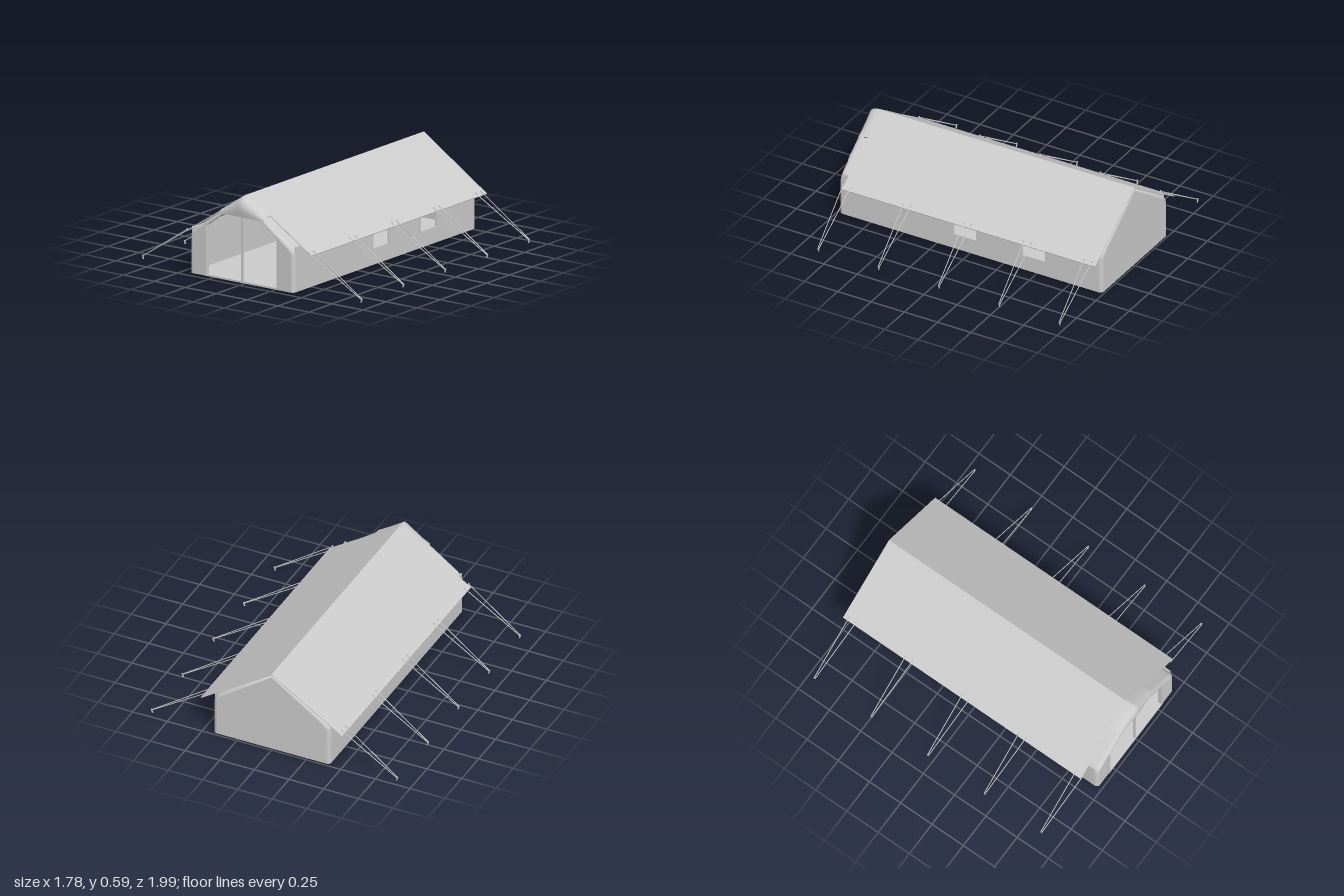
import * as THREE from 'three';

const mat = new THREE.MeshStandardMaterial({ color: 0xcccccc, side: THREE.DoubleSide });

function add(parent, name, geo, x = 0, y = 0, z = 0) {
  const m = new THREE.Mesh(geo, mat);
  m.name = name;
  m.position.set(x, y, z);
  parent.add(m);
  return m;
}

const shapeOf = pts => new THREE.Shape(pts.map(p => new THREE.Vector2(p[0], p[1])));
const pathOf = pts => new THREE.Path(pts.map(p => new THREE.Vector2(p[0], p[1])));
const extrude = (shape, depth) => new THREE.ExtrudeGeometry(shape, { depth, bevelEnabled: false });
const mirrored = half => [...half, ...half.slice().reverse().filter(p => p[0] > 0).map(([x, y]) => [-x, y])];
const rect = (x0, y0, x1, y1) => [[x0, y0], [x1, y0], [x1, y1], [x0, y1]];

// Surface through rows of points of equal length
function loft(rows) {
  const n = rows[0].length, idx = [];
  for (let i = 0; i < rows.length - 1; i++) {
    for (let j = 0; j < n - 1; j++) {
      const a = i * n + j, b = a + 1, c = a + n, d = c + 1;
      idx.push(a, c, b, b, c, d);
    }
  }
  const g = new THREE.BufferGeometry();
  g.setAttribute('position', new THREE.Float32BufferAttribute(rows.flat(2), 3));
  g.setIndex(idx);
  g.computeVertexNormals();
  return g;
}

// Straight round bar between two points
function bar(a, b, r, sides = 6) {
  const line = new THREE.LineCurve3(new THREE.Vector3(...a), new THREE.Vector3(...b));
  return new THREE.TubeGeometry(line, 1, r, sides, false);
}

const R = 0.025; // rounding of the wall corners
const inset = (pts, d) => pts.map(([x, y]) => [x * (1 - d / 0.42), y > 0.27 ? y - d * 0.5 : y]);

// Rounded edge turning from the side of the tent into an end wall
function roundedRim(profile, zStart, zTurn, dir) {
  const ring = (d, z) => inset(profile, d).map(([x, y]) => [x, y, z]);
  const rows = [ring(0, zStart)];
  for (let i = 0; i <= 6; i++) {
    const a = (i / 6) * Math.PI / 2;
    rows.push(ring(R * (1 - Math.cos(a)), zTurn + dir * R * Math.sin(a)));
  }
  if (dir > 0) rows.reverse();
  return loft(rows);
}

export function createModel() {
  const tent = new THREE.Group();
  tent.name = 'ridgeTent';

  // Floor
  add(tent, 'floor', new THREE.BoxGeometry(0.82, 0.01, 1.95), 0, 0.012, -0.01);

  // Roof sheet folded over the ridge
  const roof = shapeOf([[0.51, 0.26], [0, 0.592], [-0.51, 0.26], [-0.508, 0.254], [0, 0.585], [0.508, 0.254]]);
  add(tent, 'roof', extrude(roof, 1.9), 0, 0, -0.997);

  // Side walls with two windows each
  const windows = [[-0.055, 0.115], [-0.57, -0.4]];
  for (const s of [1, -1]) {
    const wall = shapeOf(rect(-0.95, 0.01, 0.97, 0.312));
    for (const [z0, z1] of windows) wall.holes.push(pathOf(rect(-z1, 0.12, -z0, 0.23)));
    const side = new THREE.Group();
    side.name = s > 0 ? 'leftSide' : 'rightSide';
    add(side, 'sideWall', extrude(wall, 0.008)).rotation.y = Math.PI / 2;
    side.position.x = s > 0 ? 0.412 : -0.42;
    for (const [z0, z1] of windows) {
      const frame = shapeOf(rect(-z1 - 0.012, 0.108, -z0 + 0.012, 0.242));
      frame.holes.push(pathOf(rect(-z1, 0.12, -z0, 0.23)));
      add(side, 'windowFrame', extrude(frame, 0.014), -0.003).rotation.y = Math.PI / 2;
    }
    tent.add(side);
  }

  // Back gable
  const half = [[0.42, 0.01], [0.42, 0.26], [0.412, 0.29], [0.39, 0.318], [0, 0.578]];
  add(tent, 'backRim', roundedRim(mirrored(half), -0.93, -0.997 + R, -1));
  add(tent, 'backWall', extrude(shapeOf(inset(mirrored(half), R)), 0.005), 0, 0, -0.997);

  // Front wall with a wide doorway
  const frontHalf = [[0.42, 0.01], [0.42, 0.26], [0.412, 0.285], [0.39, 0.31], [0.17, 0.465]];
  for (const s of [1, -1]) {
    const pts = frontHalf.map(([x, y]) => [s * x, y]);
    add(tent, 'frontRim', roundedRim(s > 0 ? pts : pts.reverse(), 0.88, 0.975 - R, 1));
  }
  const doorway = mirrored([[0.285, 0.022], [0.285, 0.35], [0.15, 0.45]]);
  const front = shapeOf(mirrored(inset(frontHalf, R)));
  front.holes.push(pathOf(doorway));
  add(tent, 'frontWall', extrude(front, 0.008), 0, 0, 0.967);

  // Door frame, posts and centre pole
  const frame = shapeOf(mirrored([[0.3, 0.01], [0.3, 0.356], [0.155, 0.459]]));
  frame.holes.push(pathOf(doorway));
  add(tent, 'doorFrame', extrude(frame, 0.03), 0, 0, 0.948);
  add(tent, 'centrePole', new THREE.BoxGeometry(0.014, 0.44, 0.014), 0, 0.235, 0.965);

  // Hood curving down over the doorway
  const mid = [[0.89, 0.593], [0.935, 0.593], [0.965, 0.584], [0.985, 0.568], [0.997, 0.53], [0.992, 0.49], [0.985, 0.457]];
  const edge = [[0.89, 0.478], [0.91, 0.477], [0.935, 0.475], [0.955, 0.471], [0.97, 0.464], [0.975, 0.457], [0.975, 0.447]];
  const rows = [];
  for (let i = 0; i <= 16; i++) {
    const t = i / 8 - 1, k = Math.abs(t);
    rows.push(mid.map(([z, y], j) => [
      0.18 * t, THREE.MathUtils.lerp(y, edge[j][1], k), THREE.MathUtils.lerp(z, edge[j][0], k)]));
  }
  add(tent, 'frontHood', loft(rows.reverse()));

  // Guy ropes in pairs, each pair tied to one stake
  for (const s of [1, -1]) {
    for (let i = 0; i < 5; i++) {
      const z = 0.86 - i * 0.453;
      const guy = new THREE.Group();
      guy.name = 'guyLine';
      add(guy, 'rope', bar([s * 0.49, 0.276, z + 0.047], [s * 0.885, 0.02, z + 0.004], 0.003));
      add(guy, 'rope', bar([s * 0.49, 0.276, z - 0.01], [s * 0.885, 0.02, z - 0.004], 0.003));
      add(guy, 'stake', bar([s * 0.88, 0, z], [s * 0.888, 0.026, z], 0.005));
      for (const dz of [0.047, -0.01]) {
        add(guy, 'ropeToggle', new THREE.CylinderGeometry(0.005, 0.005, 0.014, 6), s * 0.49, 0.276, z + dz);
      }
      tent.add(guy);
    }
  }
  return tent;
}
